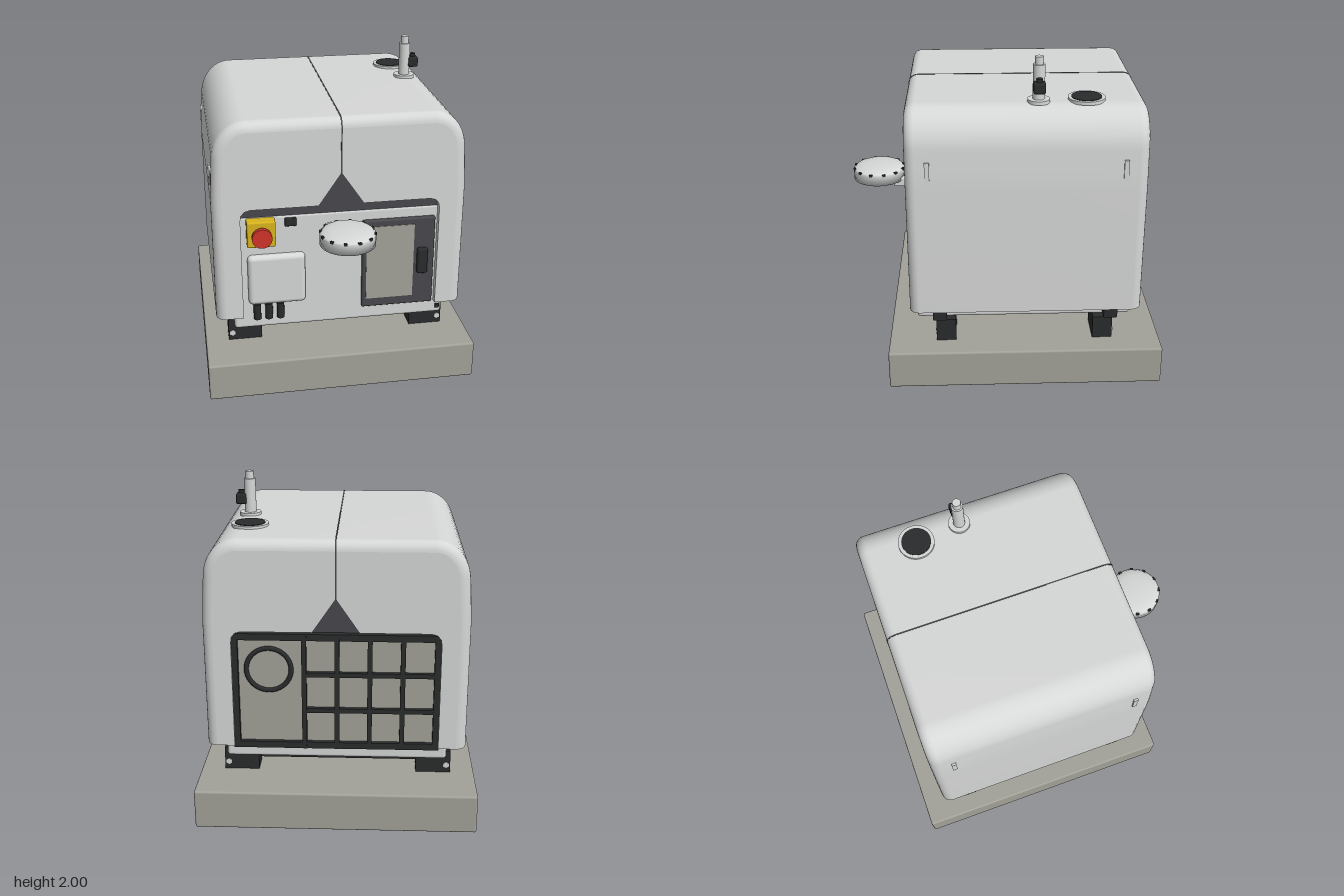
import * as THREE from 'three';
import { RoundedBoxGeometry } from 'three/addons/geometries/RoundedBoxGeometry.js';

const mat = (name, color, side = THREE.FrontSide) => {
  const m = new THREE.MeshStandardMaterial({ color, side });
  m.name = name;
  return m;
};

export function createModel() {
  const white = mat('shell white', 0xd6d8d7, THREE.DoubleSide);
  const stone = mat('stone grey', 0xa3a299);
  const dark = mat('dark grey', 0x48484d);
  const black = mat('black', 0x2a2b2c);
  const yellow = mat('yellow', 0xd8b41e);
  const red = mat('red', 0xd0352b);
  const model = new THREE.Group();

  const add = (name, geo, material, x = 0, y = 0, z = 0, parent = model) => {
    const mesh = new THREE.Mesh(geo, material);
    mesh.name = name;
    mesh.position.set(x, y, z);
    parent.add(mesh);
    return mesh;
  };
  // box given by its limits; r > 0 rounds the edges
  const box = (name, m, x0, x1, y0, y1, z0, z1, r = 0, parent = model) => {
    const s = [x1 - x0, y1 - y0, z1 - z0];
    const g = r ? new RoundedBoxGeometry(...s, 3, r) : new THREE.BoxGeometry(...s);
    return add(name, g, m, (x0 + x1) / 2, (y0 + y1) / 2, (z0 + z1) / 2, parent);
  };
  // upright cylinder, or one pointing along z
  const cyl = (name, m, r, y0, y1, x, z, seg = 40) =>
    add(name, new THREE.CylinderGeometry(r, r, y1 - y0, seg), m, x, (y0 + y1) / 2, z);
  const cylZ = (name, m, r, x, y, z0, z1, seg = 32) => {
    const c = add(name, new THREE.CylinderGeometry(r, r, z1 - z0, seg), m, x, y, (z0 + z1) / 2);
    c.rotation.x = Math.PI / 2;
    return c;
  };
  const extrude = (pts, depth) => new THREE.ExtrudeGeometry(
    new THREE.Shape(pts.map(p => new THREE.Vector2(...p))), { depth, bevelEnabled: false });

  // base slab
  box('baseSlab', stone, -0.835, 0.835, 0, 0.24, -0.955, 0.71, 0.012);

  // foot beams with bolts
  const beam = [[-0.69, 0.24], [-0.48, 0.24], [-0.48, 0.325], [0.48, 0.325],
    [0.48, 0.24], [0.69, 0.24], [0.69, 0.385], [-0.69, 0.385]];
  for (const [z, face] of [[0.3, 0.42], [-0.66, -0.66]]) {
    add('footBeam', extrude(beam, 0.12), black, 0, 0, z);
    for (const s of [-1, 1]) cylZ('footBolt', white, 0.02, s * 0.665, 0.29, face - 0.006, face + 0.006, 6);
  }

  // inner cabinet and recessed dark backing
  box('innerCabinet', white, -0.655, 0.655, 0.385, 1.14, -0.768, 0.535, 0.02);
  box('recessBacking', dark, -0.64, 0.64, 1.0, 1.42, -0.773, 0.53);

  // shell: arched outline lofted along z with rounded ends
  const R = 0.06, Z0 = -0.82, Z1 = 0.575, B = 0.48;
  const outline = inset => {
    const half = [[0.765 - inset, B], [0.765 - inset, 1.25], [0.757 - inset, 1.4]];
    for (let i = 0; i <= 12; i++) {
      const a = i / 12 * Math.PI / 2;
      half.push([0.55 + (0.2 - inset) * Math.cos(a), 1.5 + (0.235 - inset) * Math.sin(a)]);
    }
    return [...half.map(([x, y]) => [-x, y]), ...half.reverse()];
  };
  const ends = [];
  for (let i = 0; i <= 6; i++) {
    const a = i / 6 * Math.PI / 2;
    ends.push([R * (1 - Math.sin(a)), R * (1 - Math.cos(a))]);
  }
  const sections = [...ends.map(([i, d]) => [i, Z0 + d]),
    ...ends.map(([i, d]) => [i, Z1 - d]).reverse()];
  const pos = [], idx = [], n = outline(0).length;
  sections.forEach(([inset, z], s) => {
    outline(inset).forEach(([x, y], j) => {
      pos.push(x, y, z);
      if (s && j) {
        const a = (s - 1) * n + j - 1, c = s * n + j - 1;
        idx.push(a, c, a + 1, a + 1, c, c + 1);
      }
    });
  });
  const loft = new THREE.BufferGeometry();
  loft.setAttribute('position', new THREE.Float32BufferAttribute(pos, 3));
  loft.setIndex(idx);
  loft.computeVertexNormals();
  add('shell', loft, white);

  // front and back walls of the shell, with the peaked opening
  const opening = [[0.6, B], [0.6, 1.13], [0.595, 1.165], [0.575, 1.19], [0.54, 1.2],
    [0.135, 1.2], [0, 1.4]];
  const wall = extrude([...outline(R), ...opening,
    ...opening.slice(0, -1).reverse().map(([x, y]) => [-x, y])], 0.05);
  add('shellFront', wall, white, 0, 0, Z1 - 0.05);
  add('shellBack', wall, white, 0, 0, Z0).name = 'shellBack';

  // undersides, side clips and corner brackets
  for (const s of [-1, 1]) {
    const under = add('shellUnderside', new THREE.PlaneGeometry(0.164, 1.28), white, s * 0.682, B, -0.1225);
    under.rotation.x = Math.PI / 2;
    for (const z of [0.445, -0.685]) {
      box('sideClip', white, s * 0.757 - 0.009, s * 0.757 + 0.009, 1.33, 1.45, z - 0.014, z + 0.014);
    }
    for (const z of [0.395, -0.637]) {
      box('cornerBracket', black, s * 0.705 - 0.05, s * 0.705 + 0.05, 0.42, 0.478, z - 0.041, z + 0.041);
    }
  }

  // centre seam following the rounded roof
  const seam = [[-Z1 - 0.002, 1.4], [-Z0 + 0.002, 1.4]];
  for (const [c, start] of [[-Z0 - R, 0], [-Z1 + R, 1]]) {
    for (let i = 0; i <= 6; i++) {
      const a = (start + i / 6) * Math.PI / 2;
      seam.push([c + (R + 0.002) * Math.cos(a), 1.735 - R + (R + 0.002) * Math.sin(a)]);
    }
  }
  add('centreSeam', extrude(seam, 0.008), dark, -0.004).rotation.y = Math.PI / 2;

  // emergency stop
  box('stopHousing', yellow, -0.565, -0.395, 0.965, 1.13, 0.52, 0.6, 0.01);
  cylZ('stopNeck', red, 0.045, -0.48, 1.045, 0.6, 0.63);
  cylZ('stopButton', red, 0.06, -0.48, 1.045, 0.622, 0.65);
  box('smallSwitch', black, -0.335, -0.265, 1.07, 1.12, 0.53, 0.555, 0.006);
  box('lowerSwitch', black, 0.613, 0.638, 0.425, 0.45, 0.53, 0.55);

  // junction box with cable glands
  box('junctionBox', white, -0.565, -0.215, 0.56, 0.89, 0.51, 0.575, 0.03);
  for (const x of [-0.515, -0.443, -0.372]) cyl('cableGland', black, 0.023, 0.46, 0.565, x, 0.555, 16);

  // door
  box('door', dark, 0.135, 0.585, 0.48, 1.07, 0.5, 0.56, 0.012);
  box('doorWindow', stone, 0.16, 0.455, 0.54, 1.03, 0.556, 0.563);
  box('doorHandle', black, 0.475, 0.54, 0.7, 0.87, 0.55, 0.588, 0.012);

  // round tray on its arm
  box('trayArm', white, -0.08, 0.08, 1.01, 1.07, 0.52, 0.69, 0.01);
  const tray = [[0, 1.05], [0.163, 1.05], [0.163, 1.115], [0.155, 1.118], [0.148, 1.128],
    [0.11, 1.138], [0.06, 1.143], [0, 1.145]];
  add('tray', new THREE.LatheGeometry(tray.map(p => new THREE.Vector2(...p)), 48), white, 0, 0, 0.787);
  for (let i = 0; i < 12; i++) {
    const a = (i + 0.5) / 12 * Math.PI * 2;
    const clip = add('trayClip', new THREE.BoxGeometry(0.02, 0.014, 0.014), black,
      0.158 * Math.sin(a), 1.118, 0.787 + 0.158 * Math.cos(a));
    clip.rotation.y = a;
  }

  // roof vent and mast
  cyl('ventFlange', white, 0.108, 1.73, 1.75, 0.512, -0.473);
  cyl('ventOpening', black, 0.088, 1.745, 1.754, 0.512, -0.473);
  cyl('mastFlange', white, 0.065, 1.73, 1.752, 0.545, -0.195);
  cyl('mast', white, 0.035, 1.75, 1.955, 0.545, -0.195);
  cyl('mastTip', white, 0.025, 1.955, 2, 0.545, -0.195);
  box('mastValve', black, 0.565, 0.63, 1.8, 1.865, -0.23, -0.16, 0.012);
  cyl('mastValveCap', black, 0.018, 1.86, 1.885, 0.597, -0.195, 16);

  // rear grille: panels behind a black frame, with a ring on the wide panel
  const grille = new THREE.Group();
  grille.name = 'rearGrille';
  model.add(grille);
  box('grillePanel', stone, -0.59, 0.59, 0.47, 1.17, -0.785, -0.76, 0, grille);
  const cols = [-0.585, -0.385, -0.195, -0.005, 0.185, 0.585];
  const rows = [0.485, 0.71, 0.935, 1.165];
  cols.forEach((x, i) => {
    const w = i % 5 ? 0.014 : 0.02;
    box('grilleBar', black, x - w, x + w, 0.465, 1.185, -0.812, -0.77, 0, grille);
  });
  rows.forEach((y, i) => {
    const w = i % 3 ? 0.014 : 0.02;
    box('grilleRail', black, -0.6, i % 3 ? 0.185 : 0.6, y - w, y + w, -0.81, -0.77, 0, grille);
  });
  add('grilleRing', new THREE.TorusGeometry(0.13, 0.014, 10, 40), black, 0.39, 0.96, -0.79, grille);

  return model;
}
